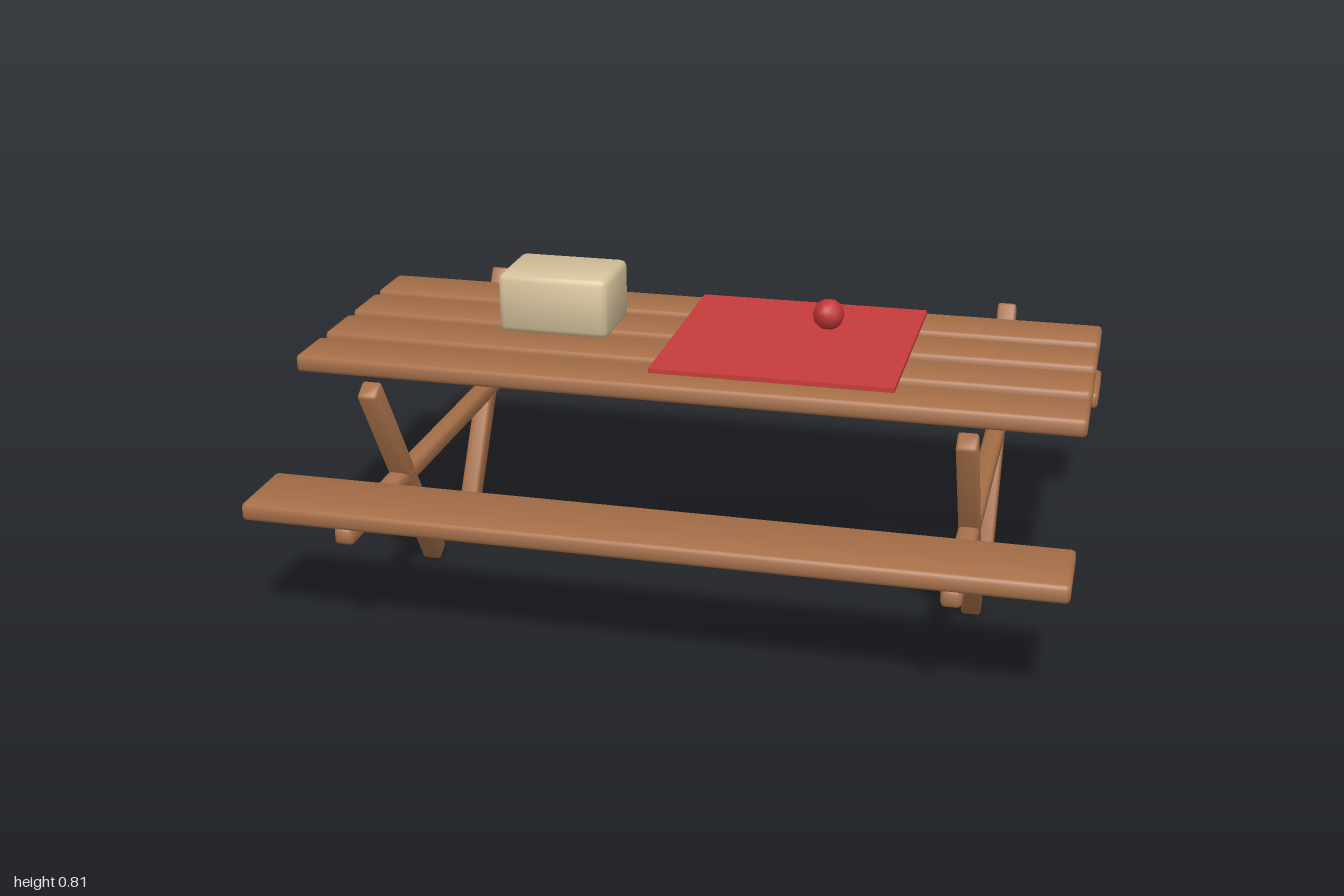
import * as THREE from 'three';
import { RoundedBoxGeometry } from 'three/addons/geometries/RoundedBoxGeometry.js';
import { mergeVertices } from 'three/addons/utils/BufferGeometryUtils.js';

// Bevelled block whose normals lean outwards at the corners, for soft shading.
function softBlock(w, h, d, bevel) {
  const g = new RoundedBoxGeometry(w, h, d, 1, bevel);
  const p = g.attributes.position, n = g.attributes.normal;
  const v = new THREE.Vector3();
  for (let i = 0; i < p.count; i++) {
    v.fromBufferAttribute(n, i);
    v.x += 0.35 * Math.sign(p.getX(i));
    v.y += 0.35 * Math.sign(p.getY(i));
    v.z += 0.35 * Math.sign(p.getZ(i));
    v.normalize();
    n.setXYZ(i, v.x, v.y, v.z);
  }
  return g;
}

export function createModel() {
  const model = new THREE.Group();
  model.name = 'picnicTable';

  const material = (name, color) => {
    const m = new THREE.MeshStandardMaterial({ color });
    m.name = name;
    return m;
  };
  const wood = material('wood', 0xa87049);
  const clothRed = material('clothRed', 0xc83c3c);
  const appleRed = material('appleRed', 0xc03436);
  const cream = material('cream', 0xd6c29c);

  const add = (name, geometry, mat, x, y, z) => {
    const mesh = new THREE.Mesh(geometry, mat);
    mesh.name = name;
    mesh.position.set(x, y, z);
    model.add(mesh);
    return mesh;
  };

  // Table top planks
  const plank = softBlock(2, 0.046, 0.155, 0.011);
  [-0.281, -0.098, 0.091, 0.28].forEach((z, i) =>
    add('topPlank' + (i + 1), plank, wood, 0, 0.616, z));

  // Bench seats
  const bench = softBlock(2, 0.046, 0.21, 0.011);
  for (const s of [-1, 1])
    add(s > 0 ? 'frontBench' : 'backBench', bench, wood, 0, 0.36, s * 0.62);

  // Trestles: a cross beam and two slanted legs at each end
  const beam = softBlock(0.05, 0.046, 1.45, 0.011);
  const footZ = 0.14, headZ = 0.512, footY = 0.016, headY = 0.626;
  const leg = softBlock(0.05, Math.hypot(headZ - footZ, headY - footY), 0.053, 0.007);
  const lean = Math.atan2(headZ - footZ, headY - footY);
  for (const side of [-1, 1]) {
    const label = side > 0 ? 'left' : 'right';
    const x = side * 0.735;
    add(label + 'CrossBeam', beam, wood, x, 0.322, 0);
    for (const s of [-1, 1]) {
      const mesh = add(label + (s > 0 ? 'FrontLeg' : 'BackLeg'), leg, wood,
        x, (footY + headY) / 2, s * (footZ + headZ) / 2);
      mesh.rotation.x = s * lean;
    }
  }

  // Tablecloth
  add('tablecloth', new THREE.BoxGeometry(0.615, 0.012, 0.612), clothRed, 0.228, 0.656, 0);

  // Food box
  add('foodBox', softBlock(0.293, 0.157, 0.215, 0.016), cream, -0.389, 0.733, -0.002);

  // Apple: coarse ball with smooth normals
  let ball = new THREE.IcosahedronGeometry(0.042, 1);
  ball.deleteAttribute('normal');
  ball.deleteAttribute('uv');
  ball = mergeVertices(ball, 1e-4);
  ball.computeVertexNormals();
  add('apple', ball, appleRed, 0.306, 0.708, -0.078);

  return model;
}
